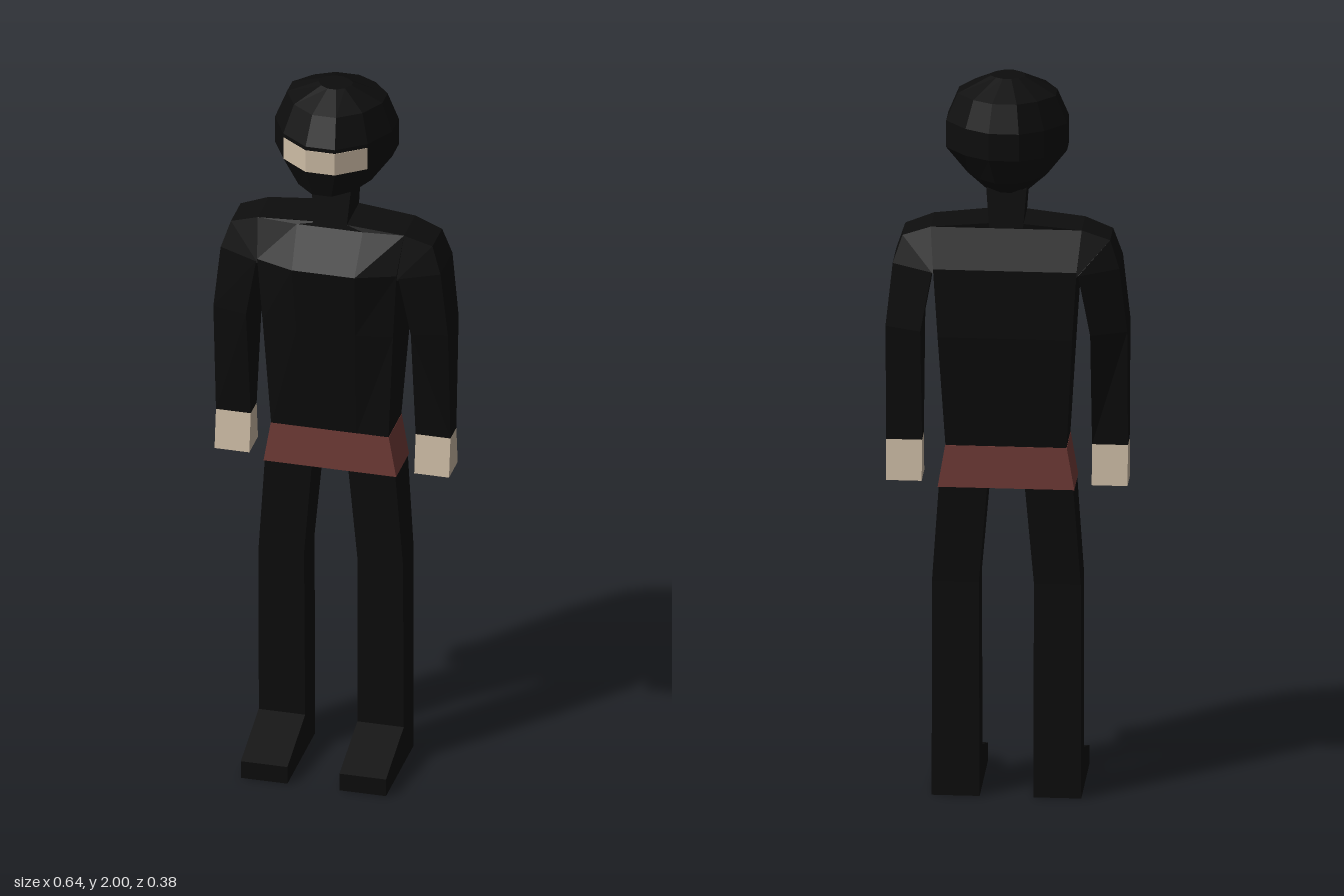
import * as THREE from 'three';

const mat = color => new THREE.MeshStandardMaterial({ color, flatShading: true });
const cloth = mat(0x0d0d0d);
const skin = mat(0xcdbca5);
const sash = mat(0x743d39);

// Joins closed rings of [x, y, z] points with quads and caps both ends.
// mirror = -1 builds the opposite side; winding is fixed from the volume.
function loft(name, rings, material, mirror = 1) {
  const P = rings.map(r => r.map(([x, y, z]) => new THREE.Vector3(x * mirror, y, z)));
  const n = P[0].length;
  const tris = [];
  for (let i = 0; i < P.length - 1; i++) {
    for (let j = 0; j < n; j++) {
      const k = (j + 1) % n;
      const [a, b, c, d] = [P[i][j], P[i][k], P[i + 1][k], P[i + 1][j]];
      tris.push([a, b, c], [a, c, d]);
    }
  }
  const last = P[P.length - 1];
  for (let j = 1; j < n - 1; j++) {
    tris.push([P[0][0], P[0][j + 1], P[0][j]], [last[0], last[j], last[j + 1]]);
  }
  const centre = P[0][0];
  let volume = 0;
  for (const t of tris) {
    const [a, b, c] = t.map(v => v.clone().sub(centre));
    volume += a.dot(b.cross(c));
  }
  if (volume < 0) tris.forEach(t => t.reverse());
  const geometry = new THREE.BufferGeometry().setFromPoints(tris.flat());
  geometry.computeVertexNormals();
  const mesh = new THREE.Mesh(geometry, material);
  mesh.name = name;
  return mesh;
}

// Level rectangle between two x values and two z values
const rect = (y, x0, x1, front, back) =>
  [[x0, y, front], [x1, y, front], [x1, y, back], [x0, y, back]];

// Chest section: flat back, front corners drawn back by "slope"
const chest = (y, hx, front, back, slope) => [
  [-hx, y, back], [-hx, y, front - slope], [-hx * 0.45, y, front],
  [hx * 0.45, y, front], [hx, y, front - slope], [hx, y, back],
];

// Twelve-sided head section
const half = [[0.25, 1], [0.72, 0.645], [1, 0.1], [1, -0.35], [0.65, -0.77], [0.25, -1]];
const outline = [...half, ...half.map(([x, z]) => [-x, z]).reverse()];
const headRing = (y, hx, front, back) => outline.map(([x, z]) =>
  [x * hx, y, (front + back) / 2 + z * (front - back) / 2]);

// Arm section: inner and outer edges each with their own y and z range
const armRing = (xi, yi, fi, bi, xo, yo, fo, bo) =>
  [[xi, yi, fi], [xo, yo, fo], [xo, yo, bo], [xi, yi, bi]];

function createHead() {
  const head = new THREE.Group();
  head.name = 'head';
  head.add(loft('hood', [
    headRing(1.69, 0.055, 0.0, -0.1),
    headRing(1.735, 0.105, 0.105, -0.155),
    headRing(1.81, 0.16, 0.12, -0.19),
    headRing(1.885, 0.16, 0.12, -0.19),
    headRing(1.96, 0.13, 0.08, -0.165),
    headRing(2.0, 0.045, 0.0, -0.075),
  ], cloth));

  // Eye opening: a shallow three-faced strip around the front
  const strip = y => [
    [-0.115, y, 0.066], [-0.04, y, 0.122], [0.04, y, 0.122], [0.115, y, 0.066],
    [0.11, y, 0.05], [-0.11, y, 0.05],
  ];
  head.add(loft('eyeOpening', [strip(1.81), strip(1.874)], skin));
  return head;
}

function createArm(side) {
  const arm = new THREE.Group();
  arm.name = side > 0 ? 'leftArm' : 'rightArm';
  arm.add(loft('sleeve', [
    armRing(0.185, 1.47, 0.05, -0.155, 0.2, 1.592, 0.01, -0.105),
    armRing(0.188, 1.475, 0.05, -0.155, 0.275, 1.565, 0.0, -0.1),
    armRing(0.194, 1.48, 0.048, -0.152, 0.3, 1.49, 0.012, -0.112),
    armRing(0.225, 1.31, 0.035, -0.14, 0.32, 1.31, 0.012, -0.1),
    armRing(0.225, 0.985, -0.015, -0.076, 0.32, 0.985, -0.015, -0.076),
  ], cloth, side));
  arm.add(loft('hand', [
    rect(0.985, 0.225, 0.32, -0.015, -0.076),
    rect(0.875, 0.225, 0.32, 0.0, -0.09),
  ], skin, side));
  return arm;
}

function createLeg(side) {
  const leg = new THREE.Group();
  leg.name = side > 0 ? 'leftLeg' : 'rightLeg';
  leg.add(loft('trouser', [
    rect(0.87, 0.05, 0.178, 0.018, -0.112),
    rect(0.6, 0.073, 0.197, 0.01, -0.1),
    rect(0, 0.071, 0.198, 0.004, -0.096),
  ], cloth, side));

  // Wedge foot, lofted from ankle to toe
  const slice = (z, h) => [[0.071, 0, z], [0.198, 0, z], [0.198, h, z], [0.071, h, z]];
  leg.add(loft('foot', [slice(0.004, 0.11), slice(0.19, 0.05)], cloth, side));
  return leg;
}

export function createModel() {
  const figure = new THREE.Group();
  figure.name = 'figure';

  figure.add(createHead());
  figure.add(loft('neck', [
    rect(1.595, -0.045, 0.045, 0.02, -0.11),
    rect(1.7, -0.053, 0.053, 0.005, -0.1),
  ], cloth));
  figure.add(loft('torso', [
    chest(0.98, 0.16, 0.02, -0.112, 0),
    chest(1.3, 0.178, 0.063, -0.153, 0.022),
    chest(1.49, 0.19, 0.09, -0.155, 0.038),
    chest(1.592, 0.2, 0.02, -0.105, 0.01),
    chest(1.607, 0.045, 0.018, -0.108, 0),
  ], cloth));
  figure.add(loft('belt', [
    rect(0.868, -0.181, 0.181, 0.02, -0.114),
    rect(0.985, -0.161, 0.161, 0.021, -0.114),
  ], sash));

  for (const side of [1, -1]) figure.add(createArm(side), createLeg(side));
  return figure;
}
